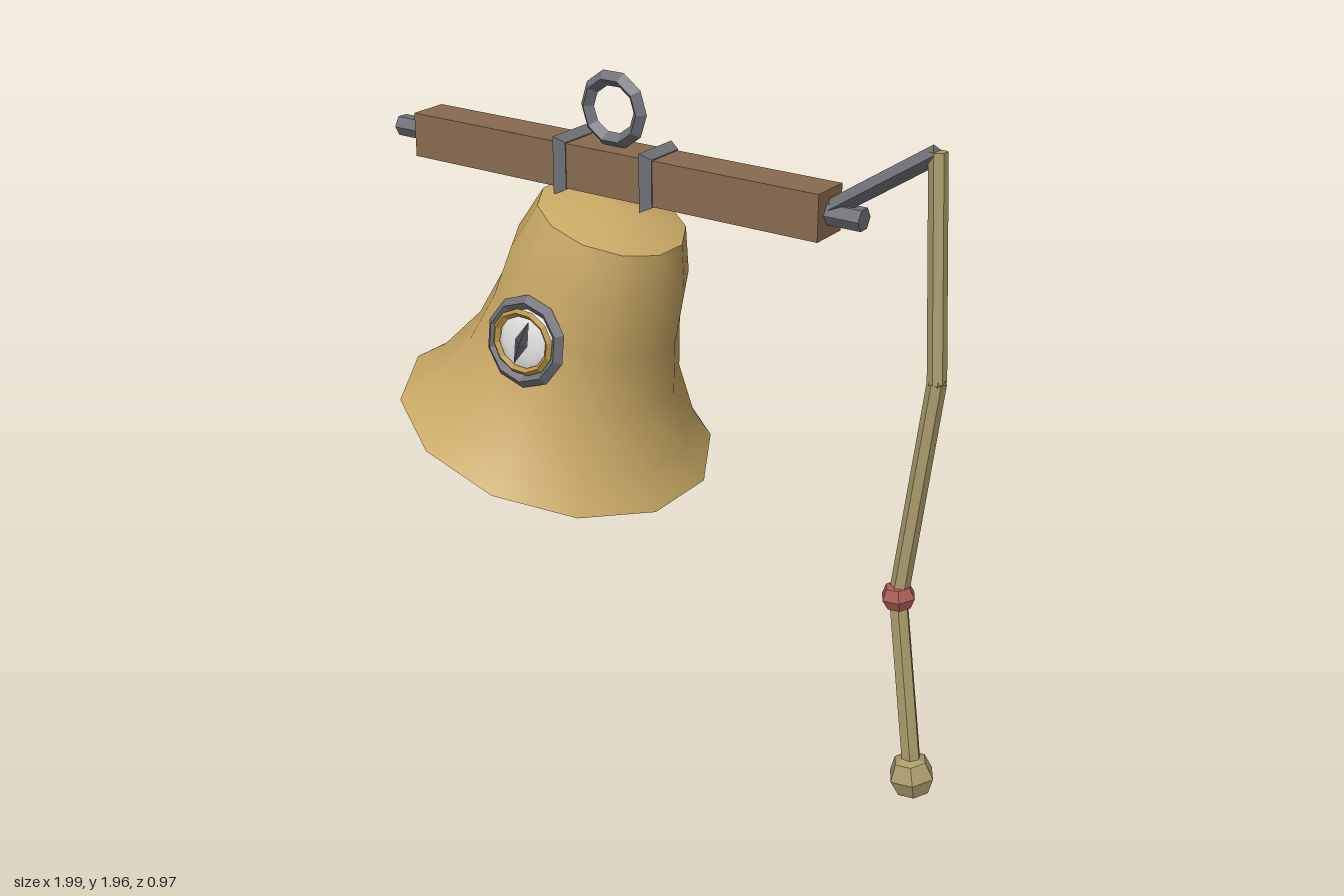
import * as THREE from 'three';

const mat = (name, color, extra = {}) => {
  const m = new THREE.MeshStandardMaterial({ color, ...extra });
  m.name = name;
  return m;
};

export function createModel() {
  const root = new THREE.Group();
  const V = (x, y, z) => new THREE.Vector3(x, y, z);
  const brass = mat('brass', 0xc8a864, { side: THREE.DoubleSide });
  const wood = mat('wood', 0x886b50, { flatShading: true });
  const iron = mat('iron', 0x6f7077, { flatShading: true });
  const ropeTan = mat('ropeTan', 0xa99b6b, { flatShading: true });
  const red = mat('red', 0xa85a55, { flatShading: true });
  const white = mat('white', 0xdcdcdc);
  const gold = mat('gold', 0xb8923f, { flatShading: true });
  const dark = mat('dark', 0x46474f, { flatShading: true });

  const add = (parent, name, geo, material, x = 0, y = 0, z = 0) => {
    const m = new THREE.Mesh(geo, material);
    m.name = name;
    m.position.set(x, y, z);
    parent.add(m);
    return m;
  };
  // Straight bar between two points
  const bar = (parent, name, a, b, ra, rb, sides, material) => {
    const d = b.clone().sub(a);
    const m = add(parent, name, new THREE.CylinderGeometry(rb, ra, d.length(), sides), material);
    m.position.copy(a).addScaledVector(d, 0.5);
    m.quaternion.setFromUnitVectors(V(0, 1, 0), d.normalize());
    return m;
  };

  // Beam with its axle
  add(root, 'beam', new THREE.BoxGeometry(1.425, 0.135, 0.126), wood, -0.178, 1.678, 0);
  bar(root, 'axle', V(-1, 1.678, 0), V(0.64, 1.678, 0), 0.034, 0.034, 6, iron);

  // Flared square straps around the beam
  for (const x of [-0.327, -0.022]) {
    const strap = new THREE.CylinderGeometry(0.123, 0.1, 0.034, 4);
    strap.rotateY(Math.PI / 4).rotateZ(Math.PI / 2).scale(1, 1, 0.93);
    add(root, 'strap', strap, iron, x, 1.678, 0);
  }

  // Hanging ring
  add(root, 'hangingRing', new THREE.TorusGeometry(0.093, 0.023, 4, 10), iron, -0.183, 1.852, 0);

  // Tilted bell; origin at the centre of the rim
  const bell = new THREE.Group();
  bell.name = 'bell';
  bell.position.set(-0.41, 0.828, 0);
  bell.rotation.z = -0.3;
  root.add(bell);
  const lathe = (name, pts) => {
    const geo = new THREE.LatheGeometry(pts.map(([r, y]) => new THREE.Vector2(r, y)), 12);
    add(bell, name, geo.rotateY(Math.PI / 12), brass);
  };
  lathe('bellBody', [[0.5, 0], [0.418, 0.088], [0.33, 0.25], [0.288, 0.42], [0.272, 0.59], [0.225, 0.737]]);
  lathe('bellCrown', [[0.225, 0.737], [0.1, 0.782], [0, 0.786]]);

  // Clapper
  bar(bell, 'clapperRod', V(0, 0.74, 0), V(0, 0, 0), 0.02, 0.02, 6, iron);
  add(bell, 'clapperBall', new THREE.SphereGeometry(0.095, 7, 5), iron, -0.005, -0.055, 0);

  // Eye on the front of the bell
  const eye = new THREE.Group();
  eye.name = 'eye';
  eye.position.set(0, 0.4, 0.285);
  eye.rotation.x = -0.17;
  bell.add(eye);
  add(eye, 'eyeRing', new THREE.TorusGeometry(0.118, 0.021, 4, 10), iron, 0, 0, 0.012);
  const ball = add(eye, 'eyeball', new THREE.SphereGeometry(0.1, 12, 8), white);
  ball.scale.z = 0.35;
  for (const s of [1, -1]) {
    const lid = add(eye, s > 0 ? 'upperLid' : 'lowerLid',
      new THREE.TorusGeometry(0.095, 0.012, 4, 6, Math.PI), gold, 0, 0, 0.028);
    lid.scale.y = 0.9;
    if (s < 0) lid.rotation.z = Math.PI;
  }
  const slit = add(eye, 'pupil', new THREE.OctahedronGeometry(0.07), dark, 0, 0, 0.034);
  slit.scale.set(0.34, 1, 0.14);

  // Lever arm and the bent pull rope
  bar(root, 'leverArm', V(0.53, 1.685, 0), V(0.845, 1.895, 0), 0.026, 0.026, 4, iron);
  const path = [V(0.845, 1.9, 0), V(0.897, 1.28, 0.03), V(0.835, 0.62, 0.06), V(0.925, 0.09, 0.09)];
  for (let i = 0; i < 3; i++) {
    bar(root, 'rope', path[i], path[i + 1], 0.026 + i * 0.001, 0.027 + i * 0.001, 6, ropeTan);
    if (i) add(root, 'ropeJoint', new THREE.SphereGeometry(0.027, 6, 4), ropeTan).position.copy(path[i]);
  }

  // Red bead and end knob
  const bead = add(root, 'bead', new THREE.SphereGeometry(0.052, 6, 4), red, 0.835, 0.622, 0.06);
  bead.scale.y = 0.85;
  bead.rotation.z = 0.12;
  const knob = add(root, 'ropeKnob', new THREE.SphereGeometry(0.07, 6, 4), ropeTan, 0.925, 0.072, 0.09);
  knob.rotation.z = 0.15;

  return root;
}
